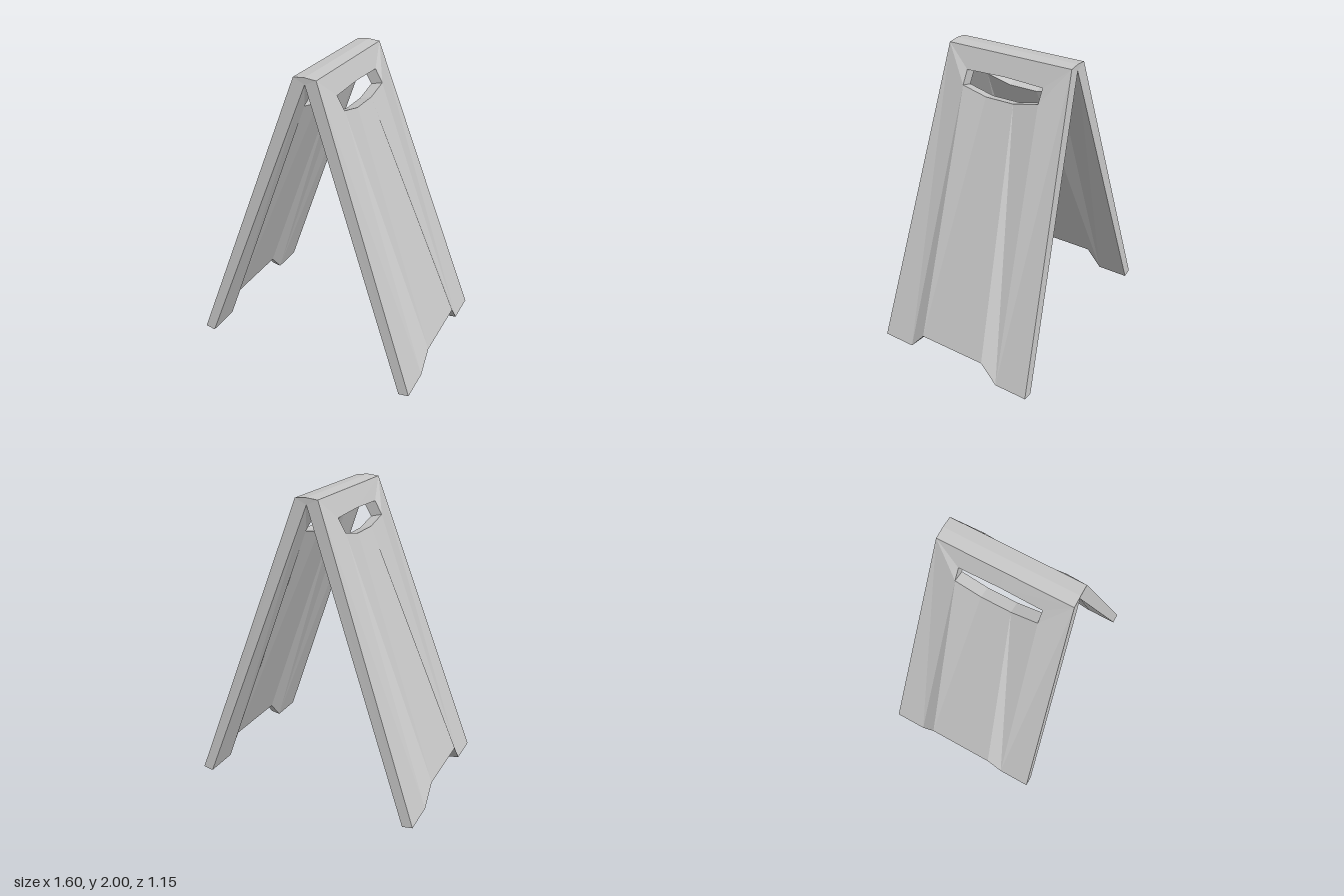
import * as THREE from 'three';

// Outer corners of half a panel (z >= 0); the middle bulges outward below the handle slot.
const OUTER = {
  T1: [0.077, 1.993, 0], T0: [0.077, 1.993, 0.44], // top edge
  H0: [0.125, 1.866, 0], H1: [0.127, 1.857, 0.275], // slot top
  A: [0.178, 1.77, 0.275], B: [0.18, 1.73, 0.1], B0: [0.18, 1.73, 0], // slot bottom
  E: [0.798, 0.012, 0.577], D: [0.798, 0.012, 0.35], // foot
  C: [0.798, 0.15, 0.24], C0: [0.798, 0.15, 0], // notch between the feet
};

const FACES = ['T1 T0 H1 H0', 'T0 E D', 'T0 D A', 'T0 A H1', 'A D C B', 'B C C0 B0'];
const RIM = ['T0 E', 'E D', 'D C', 'C C0', 'H1 H0', 'A H1', 'B A', 'B0 B'];

// Matching corner on the inner face of the panel
function inner(name) {
  const [x, y, z] = OUTER[name];
  if (name[0] === 'T') return [0, 1.957, z];
  if (name === 'E' || name === 'D') return [0.728, 0, z];
  return [x - 0.07 - 0.005 * y, y - 0.02, z];
}

function panelGeometry() {
  const positions = [];
  for (const side of [1, -1]) {
    const addFace = (points) => {
      const loop = points.map(([x, y, z]) => [x, y, z * side]);
      if (side < 0) loop.reverse();
      for (let i = 1; i < loop.length - 1; i++) {
        positions.push(...loop[0], ...loop[i], ...loop[i + 1]);
      }
    };
    for (const face of FACES) {
      const names = face.split(' ');
      addFace(names.map((n) => OUTER[n]));
      addFace(names.map(inner).reverse());
    }
    // Thickness along the outline and around the slot
    for (const edge of RIM) {
      const [p, q] = edge.split(' ');
      addFace([OUTER[q], OUTER[p], inner(p), inner(q)]);
    }
  }
  const geometry = new THREE.BufferGeometry();
  geometry.setAttribute('position', new THREE.Float32BufferAttribute(positions, 3));
  geometry.computeVertexNormals();
  return geometry;
}

export function createModel() {
  const model = new THREE.Group();
  model.name = 'foldingFloorSign';
  const plastic = new THREE.MeshStandardMaterial({ color: 0xc8c8c8 });
  plastic.name = 'light grey plastic';

  // Two leaning panels
  const geometry = panelGeometry();
  ['leftPanel', 'rightPanel'].forEach((name, i) => {
    const panel = new THREE.Mesh(geometry, plastic);
    panel.name = name;
    panel.rotation.y = i * Math.PI;
    model.add(panel);
  });

  // Ridge joining the panels
  const section = new THREE.Shape([
    new THREE.Vector2(0, 1.957), new THREE.Vector2(0.077, 1.993),
    new THREE.Vector2(0, 2), new THREE.Vector2(-0.077, 1.993),
  ]);
  const ridge = new THREE.Mesh(
    new THREE.ExtrudeGeometry(section, { depth: 0.88, bevelEnabled: false }).translate(0, 0, -0.44),
    plastic,
  );
  ridge.name = 'topRidge';
  model.add(ridge);

  return model;
}
